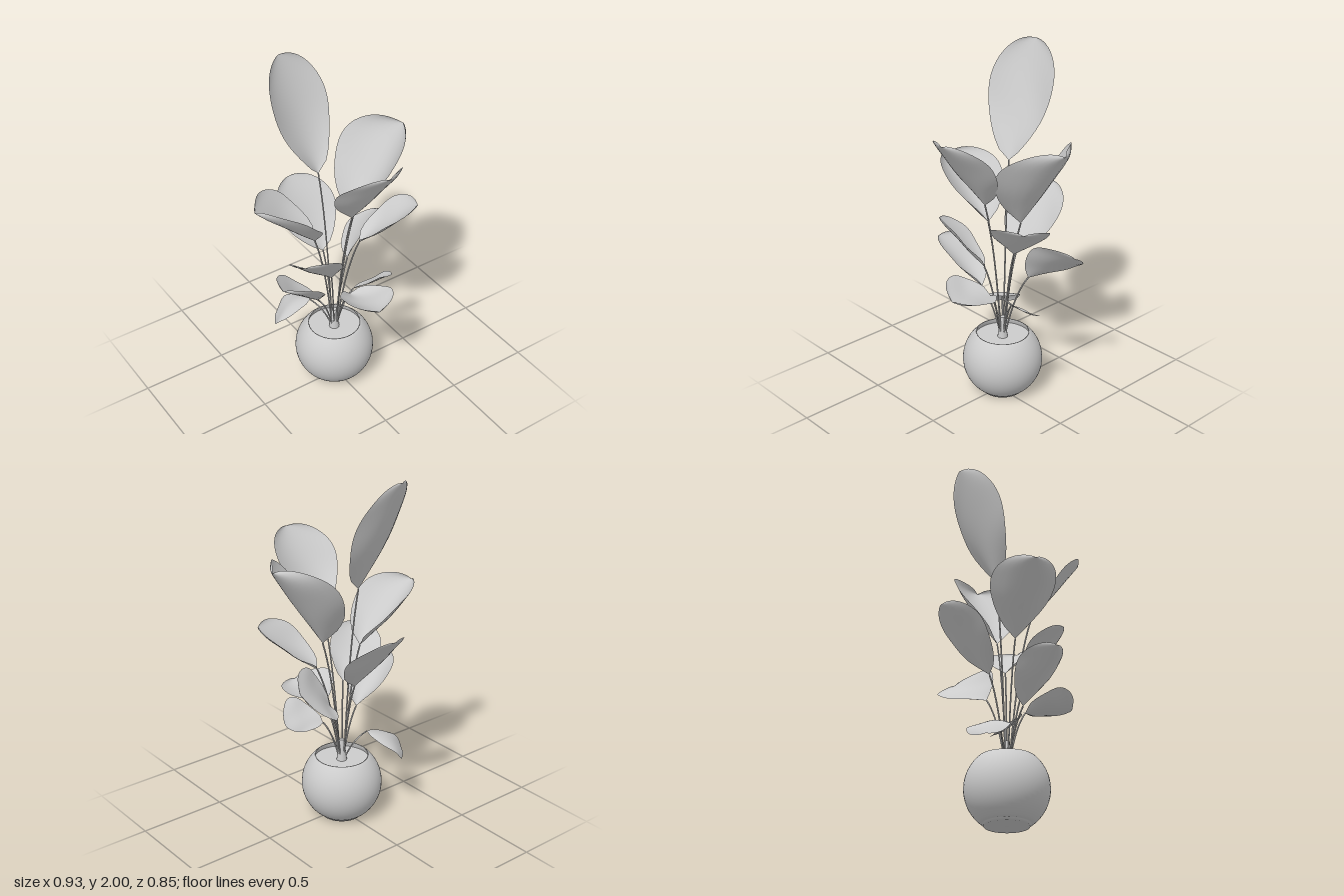
import * as THREE from 'three';

const grey = new THREE.MeshStandardMaterial({ color: 0xcccccc, side: THREE.DoubleSide });
const V = (a) => new THREE.Vector3(...a);
const CENTRE_X = 0.004, CENTRE_Z = -0.025;

function add(parent, name, geometry) {
  const mesh = new THREE.Mesh(geometry, grey);
  mesh.name = name;
  parent.add(mesh);
  return mesh;
}

// Rounded blade: pointed at the stalk, widest past the middle, folded up most near the stalk.
function bladeGeometry({ base, tip, half, cup = 0.04, bend = 0, sweep = 0.12, up = [0, 1, 0] }) {
  const b = V(base), axis = V(tip).sub(b);
  const dir = axis.clone().normalize();
  const normal = V(up).addScaledVector(dir, -V(up).dot(dir)).normalize();
  const side = dir.clone().cross(normal);
  const rows = 20, cols = 12, pos = [], idx = [];
  for (let i = 0; i <= rows; i++) {
    const u = Math.sin((i / rows) * Math.PI / 2);
    const w = Math.pow(u, 0.65) * Math.sqrt(Math.max(0, 1 - u ** 2.7)) / 0.625;
    for (let j = 0; j <= cols; j++) {
      const v = (j / cols) * 2 - 1, s = v * w;
      const lift = bend * Math.sin(Math.PI * u) + cup * v * v * Math.pow(w, 0.7) * (1.3 - 0.5 * u)
        + 0.006 * s * Math.sin(u * 9 + v * 2);
      const p = b.clone().addScaledVector(axis, u)
        .addScaledVector(dir, -sweep * half * s * s)
        .addScaledVector(side, s * half).addScaledVector(normal, lift);
      pos.push(p.x, p.y, p.z);
      if (i < rows && j < cols) {
        const a = i * (cols + 1) + j, c = a + cols + 1;
        idx.push(a, a + 1, c, a + 1, c + 1, c);
      }
    }
  }
  const g = new THREE.BufferGeometry();
  g.setAttribute('position', new THREE.Float32BufferAttribute(pos, 3));
  g.setIndex(idx);
  g.computeVertexNormals();
  return g;
}

// Thin stalk that rises from the crown and leans out to the blade.
function stalkGeometry(base) {
  const end = V(base);
  const angle = Math.atan2(end.z - CENTRE_Z, end.x - CENTRE_X);
  const root = new THREE.Vector3(CENTRE_X + Math.cos(angle) * 0.014, 0.34, CENTRE_Z + Math.sin(angle) * 0.014);
  const mid = new THREE.Vector3().lerpVectors(root, end, 0.38);
  mid.y = root.y + (end.y - root.y) * 0.7;
  return new THREE.TubeGeometry(new THREE.QuadraticBezierCurve3(root, mid, end), 14, 0.0045, 6);
}

const leaves = [
  // tall upper leaves
  { name: 'topLeaf', base: [-0.04, 1.38, -0.11], tip: [-0.11, 2.0, -0.365], half: 0.195, cup: 0.055, bend: -0.015, sweep: 0.2 },
  { name: 'upperLeftLeaf', base: [0.14, 1.09, -0.03], tip: [0.46, 1.56, -0.03], half: 0.228, cup: 0.15, sweep: 0.08 },
  { name: 'upperFrontLeaf', base: [0.02, 1.2, 0.12], tip: [0.03, 1.615, 0.425], half: 0.193, cup: 0.065 },
  { name: 'upperRightLeaf', base: [-0.12, 1.01, -0.03], tip: [-0.47, 1.325, -0.06], half: 0.18, cup: 0.11 },
  // middle leaves
  { name: 'middleBackLeaf', base: [0.0, 0.83, -0.13], tip: [-0.025, 1.18, -0.427], half: 0.185, cup: 0.04, sweep: 0.18 },
  { name: 'middleFrontLeftLeaf', base: [0.14, 0.92, 0.02], tip: [0.4, 1.175, 0.2], half: 0.155, cup: 0.055, up: [0, 1, -0.13] },
  { name: 'middleBackLeftLeaf', base: [0.14, 0.74, -0.09], tip: [0.41, 0.92, -0.18], half: 0.168, cup: 0.035, bend: 0.02, up: [-0.3, 0.8, -0.6] },
  { name: 'middleFrontRightLeaf', base: [-0.065, 0.78, 0.05], tip: [-0.31, 1.035, 0.165], half: 0.142, cup: 0.04, up: [0.2, 0.77, -0.42] },
  { name: 'lowerRightLeaf', base: [-0.13, 0.62, 0.01], tip: [-0.405, 0.87, 0.09], half: 0.132, cup: 0.065, up: [0, 1, -0.05] },
  // low leaves
  { name: 'lowFrontLeaf', base: [0.03, 0.65, 0.09], tip: [0.03, 0.71, 0.37], half: 0.158, cup: 0.06, up: [0.15, 1, 0] },
  { name: 'lowLeftLeaf', base: [0.11, 0.59, 0.01], tip: [0.31, 0.67, 0.11], half: 0.11, cup: 0.015, sweep: -0.2, up: [0, 0.79, -0.62] },
  { name: 'droopingLeaf', base: [-0.1, 0.52, -0.12], tip: [-0.26, 0.385, -0.25], half: 0.115, cup: -0.015, bend: 0.035, sweep: -0.15 },
];

export function createModel() {
  const plant = new THREE.Group();
  plant.name = 'pottedPlant';

  // Round pot: foot, globe-shaped wall, rim and inner wall
  const profile = [[0, 0], [0.12, 0], [0.12, 0.015]];
  for (let i = 0; i <= 22; i++) {
    const a = -0.95 + (i / 22) * (0.835 + 0.95);
    profile.push([0.228 * Math.cos(a), 0.2 + 0.228 * Math.sin(a)]);
  }
  profile.push([0.147, 0.368], [0.155, 0.35], [0.165, 0.32]);
  const pot = add(plant, 'pot', new THREE.LatheGeometry(profile.map(([x, y]) => new THREE.Vector2(x, y)), 48));
  pot.position.set(CENTRE_X, 0, CENTRE_Z);

  // Soil and the short sheath the stalks grow from
  const soil = add(plant, 'soil', new THREE.CylinderGeometry(0.158, 0.163, 0.01, 40));
  soil.position.set(CENTRE_X, 0.333, CENTRE_Z);
  const crown = add(plant, 'crown', new THREE.CylinderGeometry(0.014, 0.03, 0.13, 12));
  crown.position.set(CENTRE_X, 0.4, CENTRE_Z);

  // Leaves, each with its stalk
  for (const leaf of leaves) {
    const group = new THREE.Group();
    group.name = leaf.name;
    add(group, 'stalk', stalkGeometry(leaf.base));
    add(group, 'blade', bladeGeometry(leaf));
    plant.add(group);
  }
  return plant;
}
